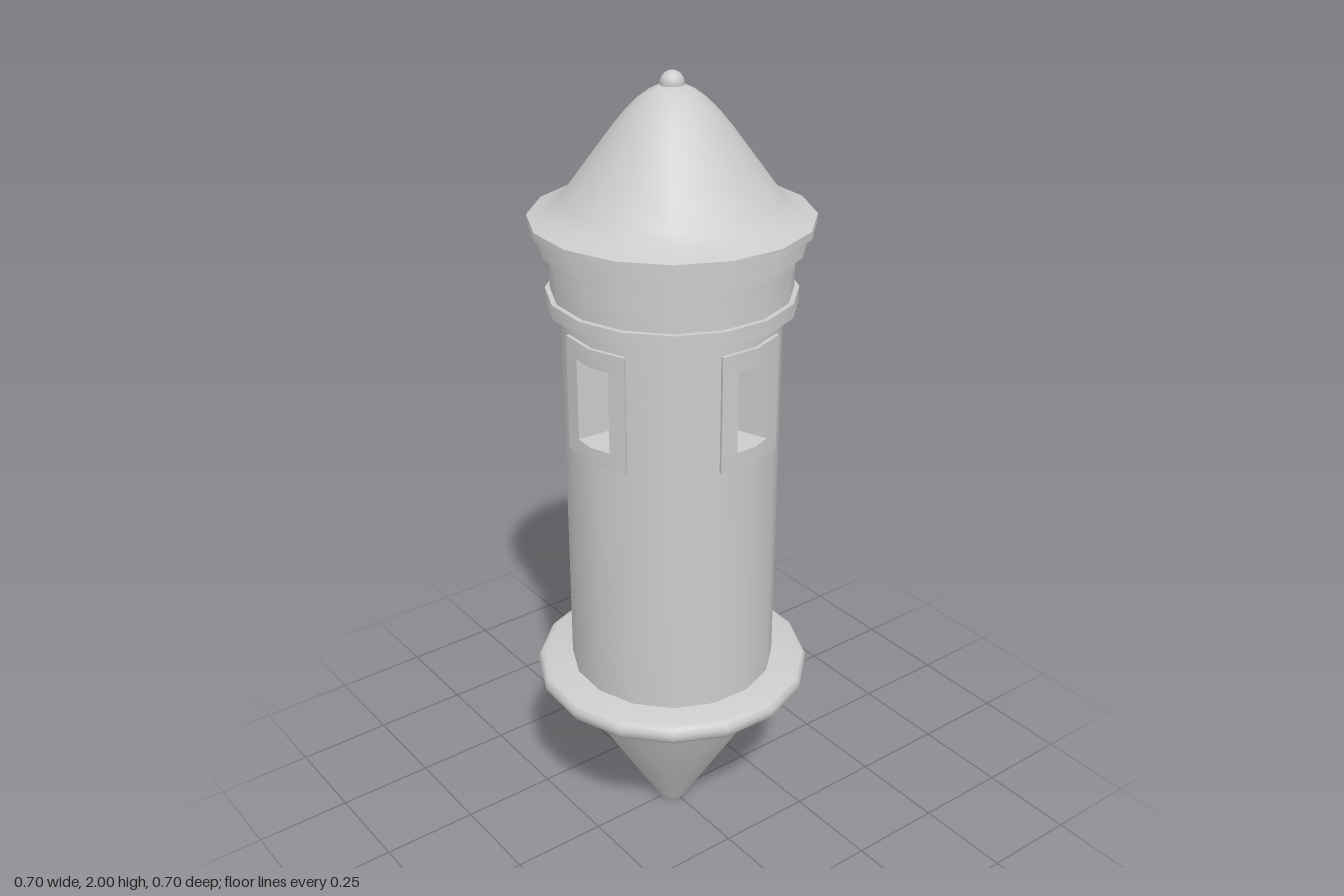
import * as THREE from 'three';
import { mergeGeometries, toCreasedNormals } from 'three/addons/utils/BufferGeometryUtils.js';

const SIDES = 16, STEP = 360 / SIDES, CREASE = 0.7;
const material = new THREE.MeshStandardMaterial({ color: 0xcccccc });

function addMesh(group, name, geometry) {
  const mesh = new THREE.Mesh(geometry, material);
  mesh.name = name;
  group.add(mesh);
  return mesh;
}

// Sixteen-sided turned part from [radius, height] points, bottom to top
function turned(points) {
  const profile = points.map(([r, y]) => new THREE.Vector2(r, y));
  return toCreasedNormals(new THREE.LatheGeometry(profile, SIDES), CREASE);
}

// Point on a sixteen-sided ring at an angle in degrees, 0 = front
function ringPoint(radius, deg) {
  const k = Math.floor(deg / STEP + 1e-6);
  const off = THREE.MathUtils.degToRad(deg - (k + 0.5) * STEP);
  const r = radius * Math.cos(Math.PI / SIDES) / Math.cos(off);
  const a = THREE.MathUtils.degToRad(deg);
  return new THREE.Vector2(r * Math.sin(a), -r * Math.cos(a));
}

// Upright curved block covering part of the ring
function arcBlock(inner, outer, a0, a1, y0, y1) {
  const angles = [a0];
  for (let k = Math.floor(a0 / STEP + 1e-6) + 1; k * STEP < a1 - 1e-6; k++) angles.push(k * STEP);
  angles.push(a1);
  const outline = [
    ...angles.map((a) => ringPoint(outer, a)),
    ...angles.slice().reverse().map((a) => ringPoint(inner, a)),
  ];
  const geometry = new THREE.ExtrudeGeometry(new THREE.Shape(outline), { depth: y1 - y0, bevelEnabled: false });
  return geometry.rotateX(-Math.PI / 2).translate(0, y0, 0);
}

const joined = (blocks) => toCreasedNormals(mergeGeometries(blocks), CREASE);

export function createModel() {
  const model = new THREE.Group();
  model.name = 'watchTurret';
  const turret = new THREE.Group();
  turret.name = 'turret';
  turret.rotation.y = THREE.MathUtils.degToRad(8.6);
  model.add(turret);

  const deck = 0.475, sill = 1.17, lintel = 1.375, wallTop = 1.48;
  const inner = 0.182, outer = 0.262;
  const winHalf = 11.25, doorHalf = 22.5;

  // Tapered corbel with the rounded deck ring
  addMesh(turret, 'corbelAndDeck', turned([
    [0, 0], [0.036, 0], [0.125, 0.15], [0.205, 0.285], [0.232, 0.345], [0.252, 0.38],
    [0.277, 0.405], [0.305, 0.416], [0.325, 0.42], [0.342, 0.427], [0.352, 0.441],
    [0.353, 0.456], [0.346, 0.469], [0.332, deck], [0, deck],
  ]));

  // Hollow wall: three window openings and a doorway at 270 degrees
  const wall = [
    arcBlock(inner, outer, -90 + doorHalf, 270 - doorHalf, deck, sill),
    arcBlock(inner, outer, -90, 270, lintel, wallTop),
  ];
  const openings = [[-90, doorHalf], [0, winHalf], [90, winHalf], [180, winHalf], [270, doorHalf]];
  for (let i = 0; i < 4; i++) {
    const [a, ha] = openings[i], [b, hb] = openings[i + 1];
    wall.push(arcBlock(inner, outer, a + ha, b - hb, sill, lintel));
  }
  addMesh(turret, 'wall', joined(wall));

  // Raised window surrounds
  const fi = 0.25, fo = 0.271, winFrame = 20.8, doorFrame = 34, frameTop = 1.42, frameFoot = 1.128;
  ['front', 'left', 'back'].forEach((side, i) => {
    const c = i * 90;
    addMesh(turret, side + 'WindowFrame', joined([
      arcBlock(fi, fo, c - winFrame, c - winHalf, sill, lintel),
      arcBlock(fi, fo, c + winHalf, c + winFrame, sill, lintel),
      arcBlock(fi, fo, c - winFrame, c + winFrame, lintel, frameTop),
      arcBlock(fi, fo, c - winFrame, c + winFrame, frameFoot, sill),
    ]));
  });

  // Raised door surround, open at the deck
  addMesh(turret, 'doorFrame', joined([
    arcBlock(fi, fo, 270 - doorFrame, 270 - doorHalf, deck, lintel),
    arcBlock(fi, fo, 270 + doorHalf, 270 + doorFrame, deck, lintel),
    arcBlock(fi, fo, 270 - doorFrame, 270 + doorFrame, lintel, frameTop),
  ]));

  // Stepped cornice
  addMesh(turret, 'cornice', turned([
    [0, 1.46], [0.298, 1.46], [0.298, 1.495], [0.286, 1.495], [0.286, 1.582],
    [0.296, 1.582], [0.296, 1.607], [0.314, 1.607], [0.314, 1.655], [0, 1.655],
  ]));

  // Bell-shaped roof with a flared eave
  addMesh(turret, 'roof', turned([
    [0, 1.653], [0.334, 1.653], [0.334, 1.672], [0.305, 1.682], [0.28, 1.694], [0.255, 1.716],
    [0.195, 1.797], [0.135, 1.877], [0.11, 1.907], [0.085, 1.932], [0.055, 1.955], [0.025, 1.97], [0, 1.975],
  ]));

  // Ball finial
  addMesh(turret, 'finial', new THREE.SphereGeometry(0.028, 16, 12)).position.y = 1.972;

  return model;
}
